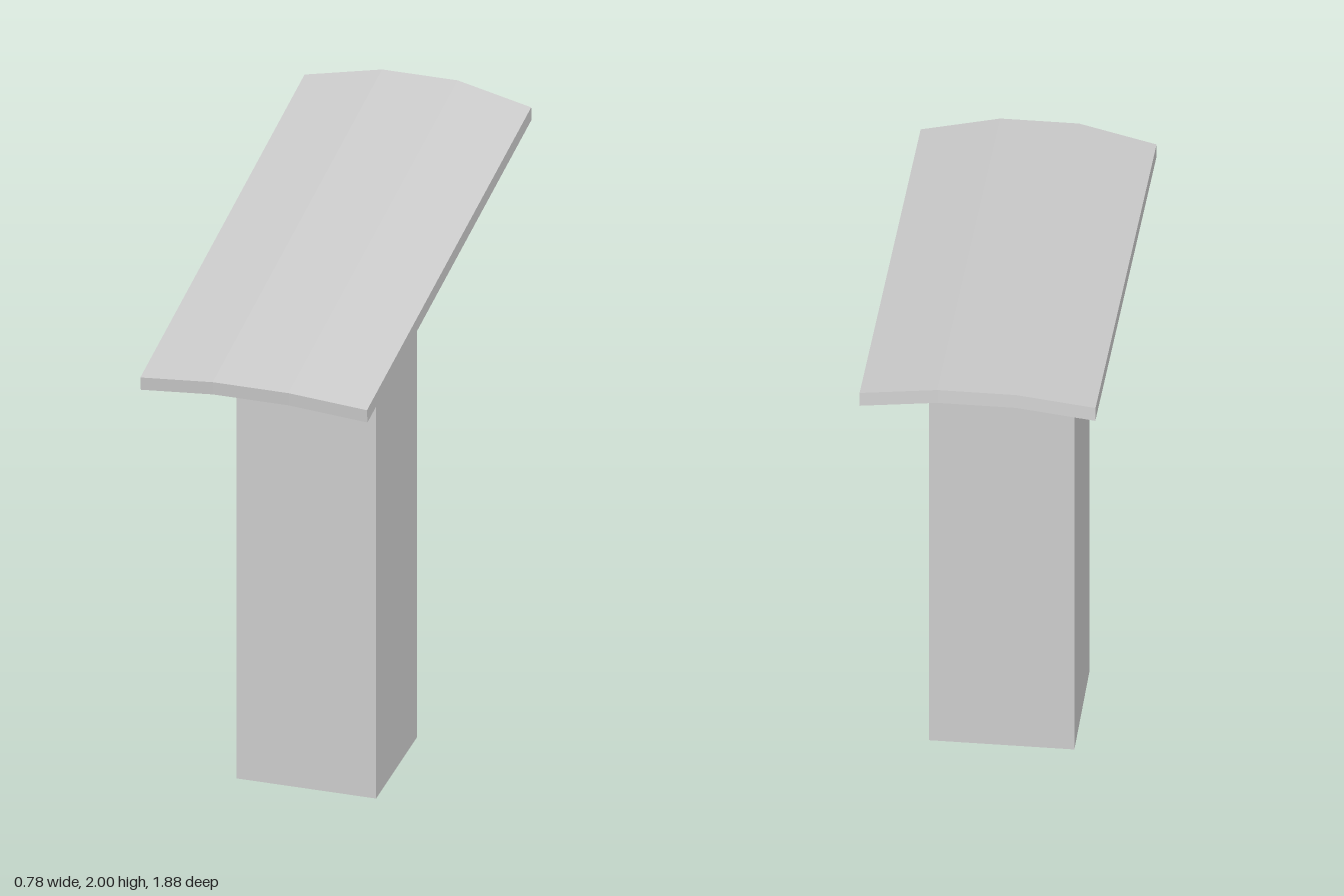
import * as THREE from 'three';

const material = new THREE.MeshStandardMaterial({ color: 0xcccccc, flatShading: true });

// Box bent into a sloping three-facet panel with slightly pointed ends
function panelGeometry() {
  const box = new THREE.BoxGeometry(0.78, 0.05, 2, 3, 1, 1);
  const p = box.attributes.position;
  for (let i = 0; i < p.count; i++) {
    const outer = Math.abs(p.getX(i)) > 0.2;
    const front = p.getZ(i) > 0;
    const bottom = p.getY(i) < 0;
    const y = (front ? 1.78 : 2) - (outer ? (front ? 0.04 : 0.048) : 0);
    const z = front ? (outer ? 0.906 : 0.94) : (outer ? -0.912 : -0.935);
    p.setY(i, y - (bottom ? 0.048 : 0));
    p.setZ(i, z - (bottom ? 0.005 : 0));
  }
  const geometry = box.toNonIndexed();
  geometry.computeVertexNormals();
  return geometry;
}

export function createModel() {
  const group = new THREE.Group();

  // Square post, set a little off centre and standing clear of the panel
  const post = new THREE.Mesh(new THREE.BoxGeometry(0.48, 1.64, 0.455), material);
  post.name = 'post';
  post.position.set(0.01, 0.82, 0.1275);
  group.add(post);

  // Tilted panel on top
  const panel = new THREE.Mesh(panelGeometry(), material);
  panel.name = 'topPanel';
  group.add(panel);

  return group;
}
